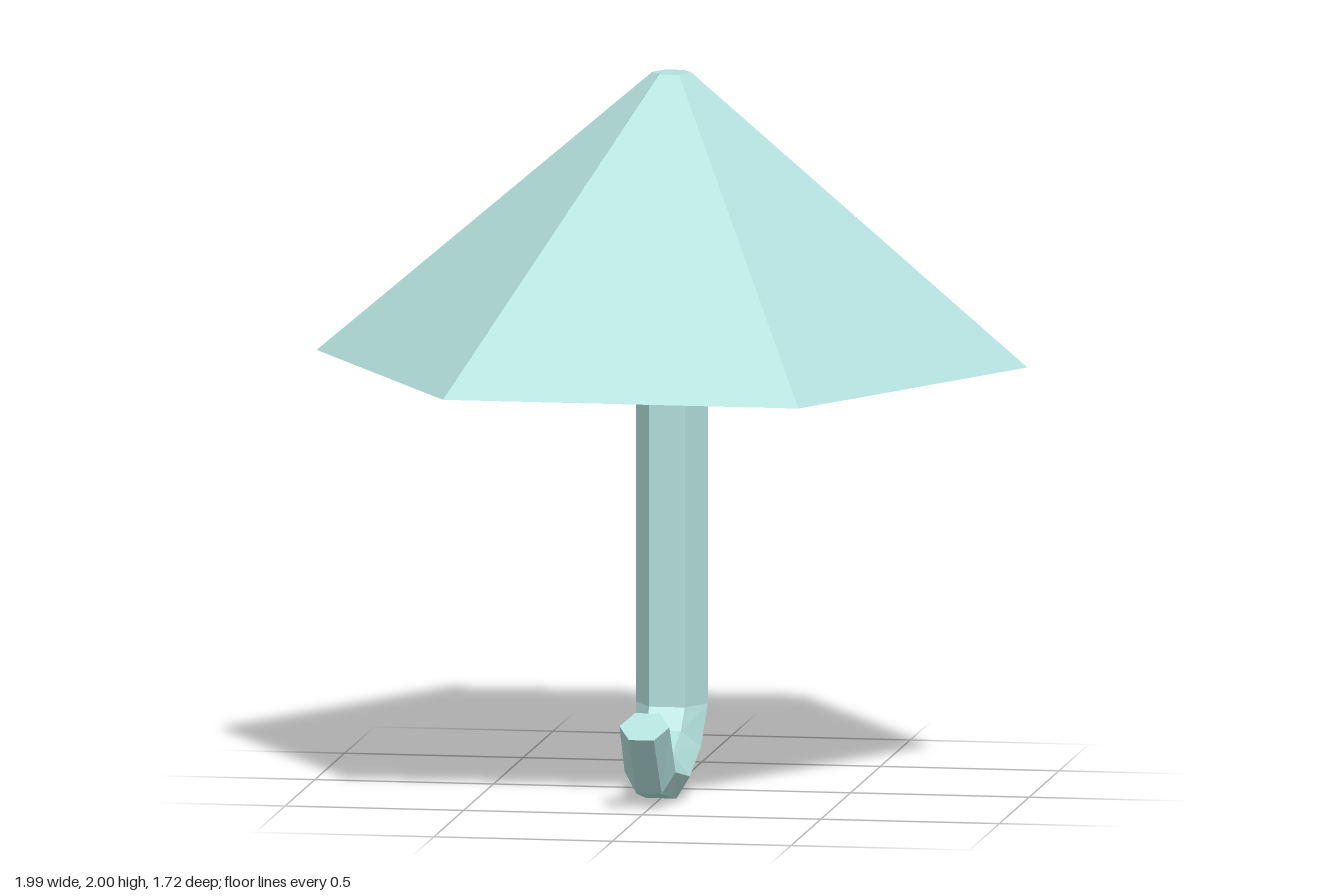
import * as THREE from 'three';

const SIDES = 6;
const COS30 = Math.cos(Math.PI / 6);

// Hexagonal ring spanning from its outer to its inner flat, each given as [z, y]
function ring([zo, yo], [zi, yi]) {
  const hz = (zi - zo) / 2, hy = (yi - yo) / 2;
  const radius = Math.hypot(hz, hy) / COS30;
  return Array.from({ length: SIDES }, (_, k) => {
    const a = (k / SIDES) * Math.PI * 2;
    const s = Math.sin(a) / COS30;
    return [radius * Math.cos(a), (yo + yi) / 2 + hy * s, (zo + zi) / 2 + hz * s];
  });
}

// Skin a run of rings and close the last one, with separate flat faces
function loft(rings) {
  const pos = [];
  const tri = (...pts) => pts.forEach((p) => pos.push(...p));
  for (let i = 0; i < rings.length - 1; i++) {
    for (let k = 0; k < SIDES; k++) {
      const n = (k + 1) % SIDES;
      const a = rings[i][k], b = rings[i][n], c = rings[i + 1][n], d = rings[i + 1][k];
      tri(a, b, c);
      tri(a, c, d);
    }
  }
  const end = rings[rings.length - 1];
  for (let k = 1; k < SIDES - 1; k++) tri(end[0], end[k], end[k + 1]);
  const geo = new THREE.BufferGeometry();
  geo.setAttribute('position', new THREE.Float32BufferAttribute(pos, 3));
  geo.computeVertexNormals();
  return geo;
}

export function createModel() {
  const group = new THREE.Group();
  group.name = 'umbrella';
  const teal = new THREE.MeshStandardMaterial({ color: 0xb2dfdb, flatShading: true });
  teal.name = 'paleTeal';

  // Closed six-panel canopy with a small flat tip
  const canopy = new THREE.Mesh(
    new THREE.CylinderGeometry(0.055, 0.995, 0.8, SIDES, 1, false, Math.PI / 6), teal);
  canopy.name = 'canopy';
  canopy.position.y = 1.6;
  group.add(canopy);

  // Straight shaft running into the tapering hooked handle
  const handle = new THREE.Mesh(loft([
    ring([-0.087, 1.2], [0.087, 1.2]),
    ring([-0.087, 0.24], [0.087, 0.24]),
    ring([0.005, 0.08], [0.13, 0.18]),
    ring([0.185, 0], [0.25, 0.135]),
    ring([0.387, 0.042], [0.35, 0.16]),
    ring([0.515, 0.21], [0.41, 0.27]),
  ]), teal);
  handle.name = 'handle';
  group.add(handle);

  return group;
}
